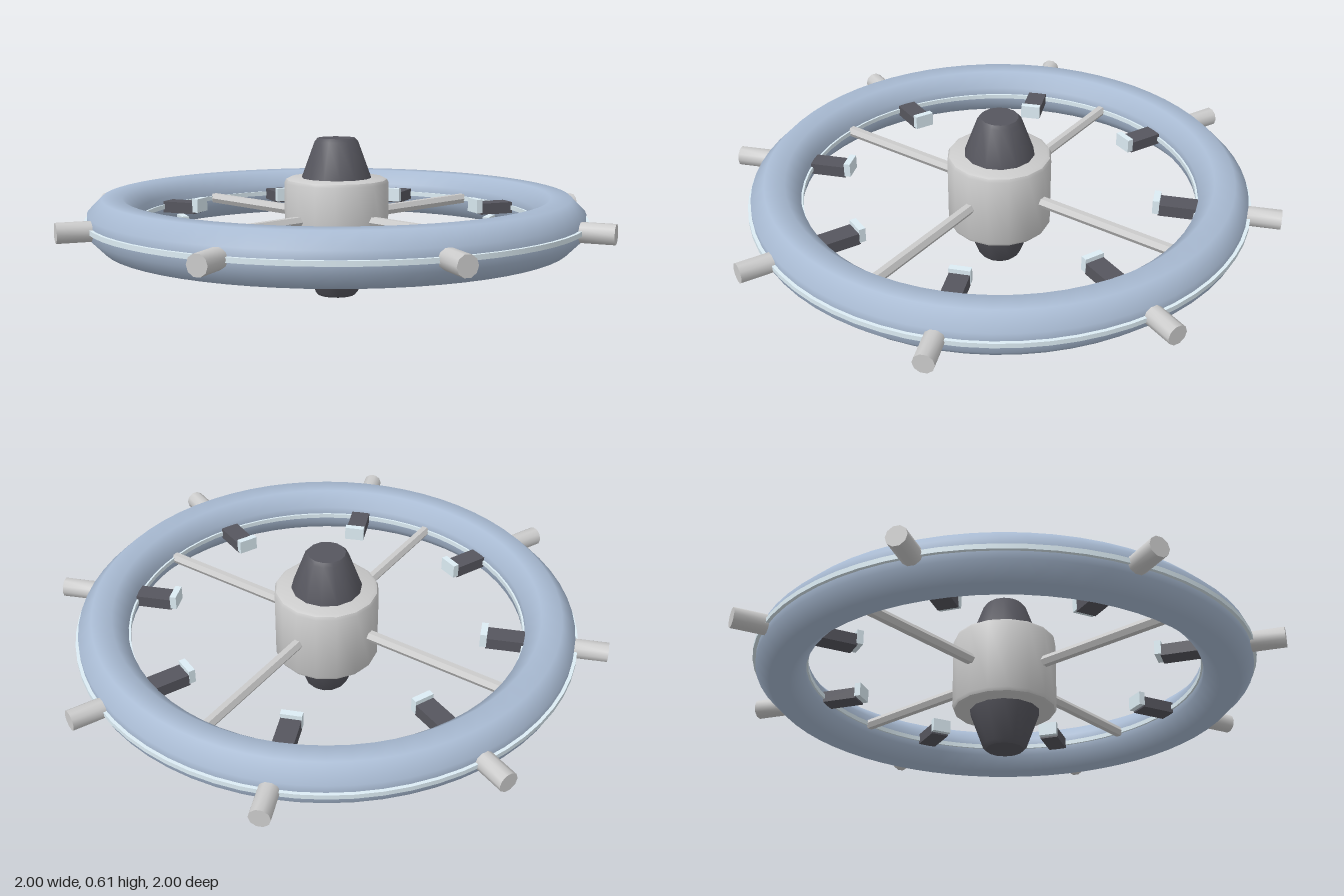
import * as THREE from 'three';
import { toCreasedNormals } from 'three/addons/utils/BufferGeometryUtils.js';

const MID = 0.305; // height of the ring plane

const grey = new THREE.MeshStandardMaterial({ color: 0xcccccc });
const blue = new THREE.MeshStandardMaterial({ color: 0xa9bbd3 });
const dark = new THREE.MeshStandardMaterial({ color: 0x56565e });
const pale = new THREE.MeshStandardMaterial({ color: 0xdcecf4 });

function add(parent, name, geometry, material, x = 0, y = 0, z = 0) {
  const mesh = new THREE.Mesh(geometry, material);
  mesh.name = name;
  mesh.position.set(x, y, z);
  parent.add(mesh);
  return mesh;
}

// Solid of revolution with sharp edges kept, from [radius, height] pairs
function turned(points, sides, crease = 0.6) {
  const profile = points.map(([r, y]) => new THREE.Vector2(r, y));
  return toCreasedNormals(new THREE.LatheGeometry(profile, sides), crease);
}

// Cylinder lying along +x from radius r0 to r1
function radialRod(radius, r0, r1, sides) {
  const g = new THREE.CylinderGeometry(radius, radius, r1 - r0, sides);
  g.rotateZ(-Math.PI / 2).translate((r0 + r1) / 2, 0, 0);
  return toCreasedNormals(g, 0.9);
}

// Runs build() on count groups spread evenly around the hub
function around(parent, name, count, offset, build) {
  for (let i = 0; i < count; i++) {
    const g = new THREE.Group();
    g.name = name;
    g.rotation.y = offset + (i * Math.PI * 2) / count;
    parent.add(g);
    build(g);
  }
}

export function createModel() {
  const model = new THREE.Group();
  model.name = 'ringStation';
  const station = new THREE.Group();
  station.name = 'station';
  station.position.y = MID;
  model.add(station);

  // Habitat ring: smooth-shaded tube with an eight-sided section
  const ring = new THREE.TorusGeometry(0.85, 0.1, 8, 64);
  const p = ring.attributes.position;
  for (let i = 0; i < p.count; i++) {
    const j = Math.floor(i / 65);
    const around = ((i % 65) / 64) * Math.PI * 2;
    const t = ((j + 0.5) / 8) * Math.PI * 2;
    const r = 0.85 + 0.1 * Math.cos(t);
    p.setXYZ(i, r * Math.cos(around), r * Math.sin(around), 0.1 * Math.sin(t));
    const n = ring.attributes.normal;
    n.setXYZ(i, Math.cos(t) * Math.cos(around), Math.cos(t) * Math.sin(around), Math.sin(t));
  }
  ring.rotateX(-Math.PI / 2);
  add(station, 'habitatRing', ring, blue);

  // Thin window bands on the outer and inner walls
  const band = (a, b) => turned([[a, -0.009], [b, -0.009], [b, 0.009], [a, 0.009], [a, -0.009]], 64);
  add(station, 'outerWindowBand', band(0.93, 0.955), pale);
  add(station, 'innerWindowBand', band(0.75, 0.77), pale);

  // Hub drum with bevelled rims
  add(station, 'hub', turned([
    [0, -0.153], [0.182, -0.153], [0.194, -0.147], [0.2, -0.135],
    [0.2, 0.135], [0.194, 0.147], [0.182, 0.153], [0, 0.153],
  ], 16), grey);

  // Tapered caps above and below the hub
  const cap = turned([[0.137, 0.14], [0.134, 0.155], [0.084, 0.292], [0.072, 0.305], [0, 0.305]], 14);
  add(station, 'upperCap', cap, dark);
  add(station, 'lowerCap', cap, dark).rotation.x = Math.PI;

  // Spokes from hub to ring
  const spoke = radialRod(0.022, 0.17, 0.775, 6);
  around(station, 'spoke', 4, 0, (g) => add(g, 'spokeBar', spoke, grey));

  // Outer docking ports, with an arm and lit tip on the inner wall
  const port = radialRod(0.038, 0.9, 1.066, 10);
  const arm = new THREE.BoxGeometry(0.16, 0.045, 0.075);
  const tip = new THREE.BoxGeometry(0.025, 0.055, 0.078);
  around(station, 'dockingStation', 8, Math.PI / 8, (g) => {
    add(g, 'dockingPort', port, grey);
    add(g, 'innerArm', arm, dark, 0.695);
    add(g, 'armTip', tip, pale, 0.606, 0.012);
  });

  return model;
}
